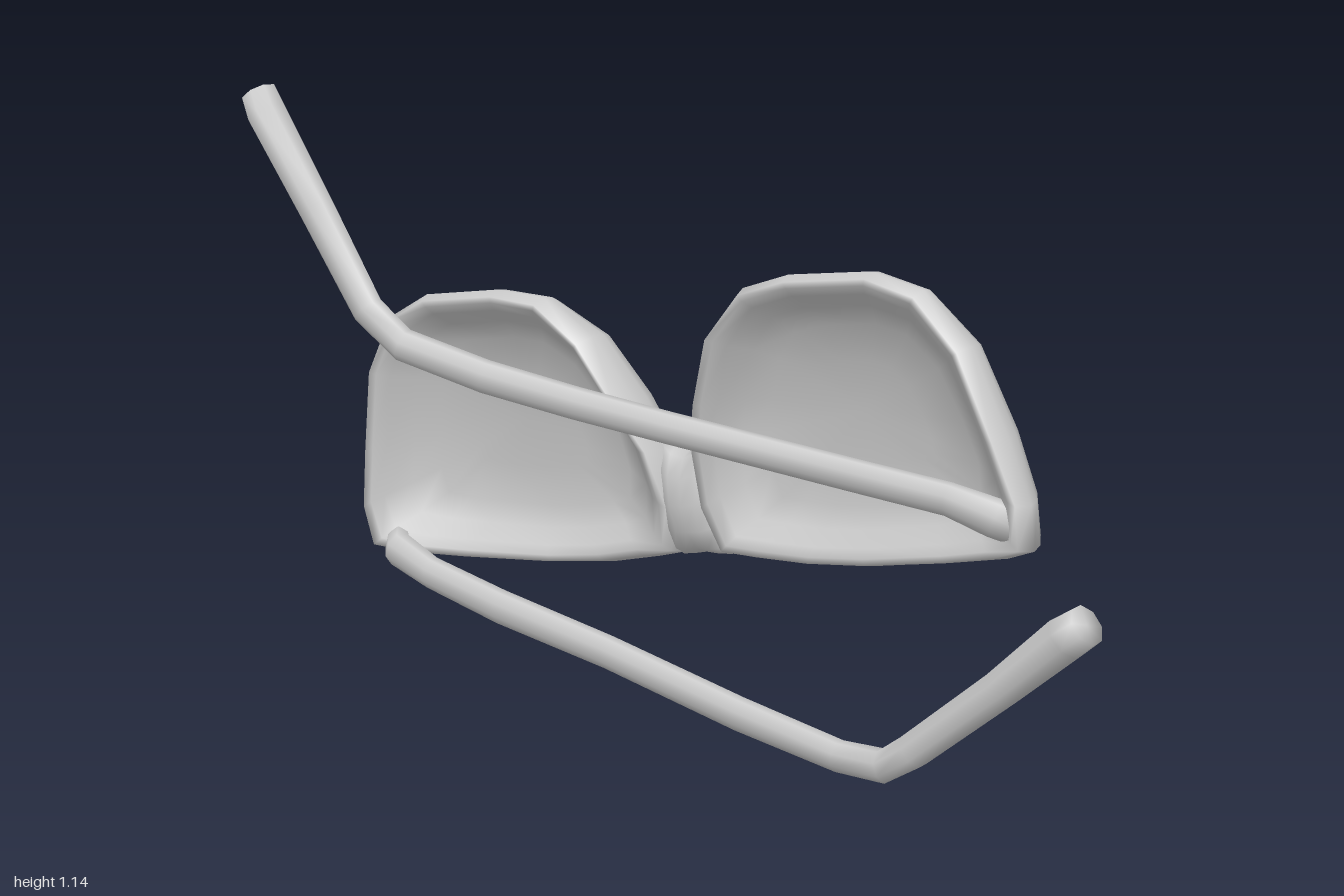
import * as THREE from 'three';
import { mergeVertices } from 'three/addons/utils/BufferGeometryUtils.js';

const material = new THREE.MeshStandardMaterial({ color: 0xcccccc });
const { clamp, lerp } = THREE.MathUtils;

// Smooth skin over a list of equal-length rings of [x, y, z]
function loft(rings) {
  const n = rings[0].length, index = [];
  for (let r = 0; r < rings.length - 1; r++) {
    for (let i = 0; i < n; i++) {
      const j = (i + 1) % n, a = r * n, b = a + n;
      index.push(a + i, b + i, b + j, a + i, b + j, a + j);
    }
  }
  let geo = new THREE.BufferGeometry();
  geo.setAttribute('position', new THREE.Float32BufferAttribute(rings.flat(2), 3));
  geo.setIndex(index);
  geo = mergeVertices(geo, 1e-5);
  geo.computeVertexNormals();
  return geo;
}

function mesh(name, geo) {
  const m = new THREE.Mesh(geo, material);
  m.name = name;
  return m;
}

// Outline of one lens with its rim: nose side, lower edge, outer side, brow
const OUTLINE = [
  [0.03, 0.06], [0.045, 0.18], [0.085, 0.28], [0.15, 0.415], [0.245, 0.5], [0.36, 0.522],
  [0.55, 0.52], [0.655, 0.48], [0.735, 0.372], [0.785, 0.2], [0.817, 0.078], [0.808, -0.008],
  [0.73, -0.03], [0.6, -0.048], [0.39, -0.064], [0.25, -0.062], [0.13, -0.048], [0.05, -0.035],
];
const CENTRE = [0.42, 0.24];

// Domed outer face of the lens
function backZ(x, y) {
  const u = (x - 0.4) / 0.42;
  return -0.187 + (u > 0 ? 0.1 : 0.045) * Math.abs(u) ** 3 + 0.115 * Math.max(0, y / 0.52) ** 3;
}

// Crest of the rim, set back along the brow and at the bridge
function rimZ(x, y) {
  const brow = clamp(1 - (y + 0.06) / 0.16, 0, 1) * (1 - Math.min(1, x / 0.8) ** 4);
  const nose = clamp(1 - x / 0.25, 0, 1) * clamp(1 - (y - 0.1) / 0.25, 0, 1);
  return -0.006 - Math.max(0.095 * brow, 0.07 * nose);
}

// Dished lens shell. Each layer: outline scale, then height from inner dish to
// rim crest (front side) or from rim crest to dome (back side)
function lens(side) {
  const outline = side > 0 ? [...OUTLINE].reverse() : OUTLINE;
  const front = (t) => (x, y) => lerp(backZ(x, y) + 0.045, rimZ(x, y), t);
  const back = (t) => (x, y) => lerp(rimZ(x, y), backZ(x, y), t);
  const layers = [
    [0, front(0)], [0.35, front(0)], [0.62, front(0)], [0.76, front(0.2)], [0.86, front(0.65)],
    [0.92, front(0.92)], [0.965, front(1)],
    [1, back(0.4)], [0.985, back(0.72)], [0.94, back(0.96)],
    [0.85, back(1)], [0.7, back(1)], [0.5, back(1)], [0.25, back(1)], [0, back(1)],
  ];
  return loft(layers.map(([s, z]) => outline.map(([px, py]) => {
    const x = CENTRE[0] + (px - CENTRE[0]) * s, y = CENTRE[1] + (py - CENTRE[1]) * s;
    return [side * x, y, z(x, y)];
  })));
}

// Bridge: upright ovals [x, low, high, z, depth radius] that flare into the
// lenses and end inside their shells
function bridge() {
  const half = [
    [0.15, 0.0, 0.2, -0.157, 0.008], [0.1, -0.035, 0.22, -0.145, 0.025],
    [0.06, -0.04, 0.215, -0.118, 0.05], [0.03, -0.038, 0.185, -0.113, 0.056],
  ];
  const sections = [
    ...half.map(([x, ...rest]) => [-x, ...rest]),
    [0, -0.035, 0.175, -0.115, 0.06],
    ...[...half].reverse(),
  ];
  return loft(sections.map(([x, low, high, z, rz]) => Array.from({ length: 12 }, (_, i) => {
    const a = -i / 12 * Math.PI * 2;
    return [x, (low + high) / 2 + Math.cos(a) * (high - low) / 2, z + Math.sin(a) * rz];
  })));
}

// Temple arm: points are [x, y, z, radius across, radius in depth]
function arm(points) {
  const at = (i) => new THREE.Vector3(...points[clamp(i, 0, points.length - 1)].slice(0, 3));
  const rings = points.map(([x, y, z, ra, rd], i) => {
    const t = at(i + 1).sub(at(i - 1)).normalize();
    const n = new THREE.Vector3(-t.y, t.x, 0).normalize();
    const b = t.clone().cross(n);
    return Array.from({ length: 8 }, (_, k) => {
      const a = (k + 0.5) / 8 * Math.PI * 2;
      return new THREE.Vector3(x, y, z)
        .addScaledVector(n, Math.cos(a) * ra).addScaledVector(b, -Math.sin(a) * rd).toArray();
    });
  });
  const cap = (i) => Array.from({ length: 8 }, () => at(i).toArray());
  return loft([cap(0), ...rings, cap(points.length - 1)]);
}

export function createModel() {
  const model = new THREE.Group();
  model.name = 'foldedSunglasses';

  // Front frame, lying upside down and tilted
  const front = new THREE.Group();
  front.name = 'frontFrame';
  front.position.set(-0.035, 0.31, 0);
  front.rotation.z = 0.188;
  front.add(mesh('leftLens', lens(1)), mesh('rightLens', lens(-1)), mesh('bridge', bridge()));
  model.add(front);

  // Folded arms, crossing in front of the lenses
  model.add(mesh('leftArm', arm([
    [0.72, 0.482, -0.06, 0.034, 0.03], [0.685, 0.507, -0.025, 0.038, 0.032],
    [0.6, 0.532, -0.003, 0.032, 0.027], [0.4, 0.542, 0.006, 0.032, 0.026],
    [0, 0.572, 0.045, 0.032, 0.026], [-0.2, 0.595, 0.08, 0.033, 0.027],
    [-0.4, 0.622, 0.112, 0.034, 0.028], [-0.58, 0.665, 0.148, 0.034, 0.029],
    [-0.665, 0.725, 0.155, 0.035, 0.031], [-0.8, 0.91, 0.15, 0.038, 0.037],
    [-0.935, 1.085, 0.142, 0.041, 0.043], [-0.963, 1.122, 0.135, 0.039, 0.036],
  ])));
  model.add(mesh('rightArm', arm([
    [-0.79, 0.17, -0.06, 0.034, 0.03], [-0.76, 0.158, -0.025, 0.038, 0.032],
    [-0.65, 0.135, -0.002, 0.034, 0.027], [-0.45, 0.108, 0.016, 0.036, 0.027],
    [-0.15, 0.085, 0.045, 0.034, 0.027], [0.2, 0.05, 0.088, 0.034, 0.027],
    [0.45, 0.034, 0.117, 0.031, 0.028], [0.555, 0.043, 0.126, 0.033, 0.03],
    [0.62, 0.09, 0.128, 0.035, 0.033], [0.8, 0.25, 0.126, 0.037, 0.037],
    [0.93, 0.375, 0.126, 0.043, 0.043], [0.969, 0.406, 0.126, 0.039, 0.04],
  ])));
  return model;
}
